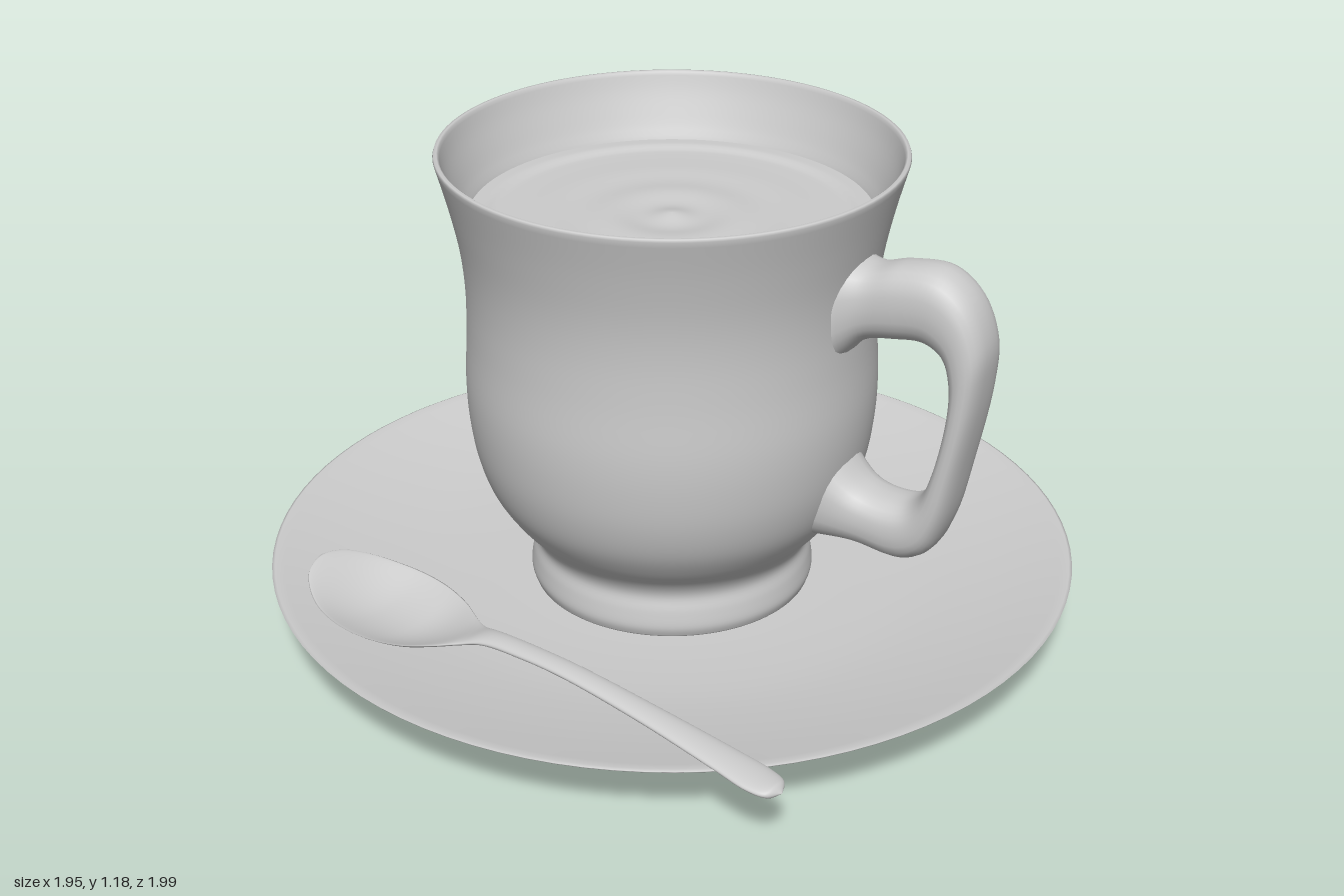
import * as THREE from 'three';

const material = new THREE.MeshStandardMaterial({ color: 0xcccccc, side: THREE.DoubleSide });
const AXIS_Z = -0.025; // cup and saucer share this axis

function addMesh(parent, name, geometry) {
  const mesh = new THREE.Mesh(geometry, material);
  mesh.name = name;
  parent.add(mesh);
  return mesh;
}

const v2 = (pts) => pts.map(([x, y]) => new THREE.Vector2(x, y));

// Smooth profile through [radius, height] points
const smooth = (pts, n) => new THREE.SplineCurve(v2(pts)).getPoints(n);

// Skin closed rings of points into one smooth tube
function loft(rings) {
  const n = rings[0].length;
  const index = [];
  for (let i = 0; i < rings.length - 1; i++) {
    for (let j = 0; j < n; j++) {
      const k = (j + 1) % n;
      const a = i * n + j, b = i * n + k, c = a + n, d = b + n;
      index.push(a, b, c, b, d, c);
    }
  }
  const geometry = new THREE.BufferGeometry().setFromPoints(rings.flat());
  geometry.setIndex(index);
  geometry.computeVertexNormals();
  return geometry;
}

// Shallow dish with a flat base
function saucerGeometry() {
  const under = smooth([[0.45, 0], [0.55, 0.007], [0.65, 0.033], [0.8, 0.088], [0.972, 0.153]], 20);
  const top = smooth([[0.968, 0.16], [0.8, 0.122], [0.62, 0.092], [0.45, 0.08], [0.3, 0.078]], 20);
  return new THREE.LatheGeometry(
    [...v2([[0, 0], [0.4, 0]]), ...under, ...v2([[0.975, 0.157]]), ...top, ...v2([[0, 0.078]])], 96);
}

// Flared cup: foot, waist, belly, rim and inner wall
function cupGeometry() {
  const outside = smooth([
    [0.338, 0.085], [0.345, 0.11], [0.34, 0.15], [0.332, 0.19], [0.35, 0.23], [0.395, 0.28],
    [0.44, 0.35], [0.468, 0.43], [0.483, 0.52], [0.488, 0.62], [0.482, 0.75], [0.482, 0.86],
    [0.492, 0.96], [0.515, 1.07], [0.543, 1.174]], 70);
  const inside = smooth([[0.53, 1.178], [0.515, 1.13], [0.487, 1.06], [0.462, 1.0], [0.45, 0.9]], 16);
  return new THREE.LatheGeometry(
    [...v2([[0, 0.08], [0.33, 0.08]]), ...outside, ...v2([[0.541, 1.18], [0.534, 1.181]]), ...inside], 96);
}

// Liquid surface with a few soft ripples and a raised edge
function drinkGeometry() {
  const pts = [];
  for (let i = 50; i >= 0; i--) {
    const r = 0.472 * i / 50;
    const ripple = 0.007 * Math.cos(r * 42) * Math.exp(-r * 7);
    const edge = 0.008 * THREE.MathUtils.smoothstep(r, 0.41, 0.44);
    pts.push(new THREE.Vector2(r, 1.015 + ripple + edge));
  }
  return new THREE.LatheGeometry(pts, 96);
}

// Angular handle: rounded sections spanning an outer and an inner edge curve
function handleGeometry() {
  const edge = (pts) => new THREE.CatmullRomCurve3(pts.map(([x, y]) => new THREE.Vector3(x, y, 0)));
  const outer = edge([
    [0.475, 1.025], [0.53, 1.015], [0.6, 1.035], [0.7, 1.04], [0.77, 0.99], [0.812, 0.89], [0.81, 0.78],
    [0.775, 0.58], [0.738, 0.42], [0.7, 0.345], [0.64, 0.313], [0.52, 0.322], [0.41, 0.315]]);
  const inner = edge([
    [0.475, 0.79], [0.52, 0.835], [0.6, 0.855], [0.67, 0.862], [0.715, 0.835], [0.732, 0.78], [0.732, 0.7],
    [0.708, 0.57], [0.68, 0.495], [0.645, 0.462], [0.6, 0.455], [0.53, 0.468], [0.455, 0.54]]);
  const round = (v) => Math.sign(v) * Math.pow(Math.abs(v), 0.8);
  const rings = [];
  for (let i = 0; i <= 72; i++) {
    const t = i / 72;
    const o = outer.getPoint(t), q = inner.getPoint(t);
    const centre = o.clone().add(q).multiplyScalar(0.5);
    const half = o.clone().sub(q).multiplyScalar(0.5);
    const flare = Math.max(0, 1 - Math.min(t, 1 - t) / 0.12);
    const width = 0.079 + 0.03 * flare * flare;
    const ring = [];
    for (let j = 0; j < 24; j++) {
      const a = j / 24 * Math.PI * 2;
      const p = centre.clone().addScaledVector(half, round(Math.cos(a)));
      p.z = width * round(Math.sin(a));
      ring.push(p);
    }
    rings.push(ring);
  }
  return loft(rings);
}

// Spoon from bowl tip to handle end; stations are [length, half width, height]
function spoonGeometry() {
  const curve = new THREE.CatmullRomCurve3([
    [0, 0.001, 0.236], [0.02, 0.056, 0.23], [0.06, 0.097, 0.216], [0.12, 0.129, 0.2], [0.2, 0.145, 0.19],
    [0.28, 0.14, 0.185], [0.36, 0.115, 0.184], [0.43, 0.075, 0.19], [0.48, 0.048, 0.2], [0.54, 0.032, 0.217],
    [0.65, 0.028, 0.225], [0.78, 0.028, 0.225], [1, 0.033, 0.206], [1.2, 0.042, 0.181], [1.29, 0.045, 0.168],
    [1.33, 0.034, 0.164], [1.35, 0.001, 0.162],
  ].map((p) => new THREE.Vector3(p[0], p[1], p[2])));
  const step = THREE.MathUtils.smoothstep;
  const rings = [];
  for (let i = 0; i <= 112; i++) {
    const { x: s, y: half, z: height } = curve.getPoint(i / 112);
    const depth = 0.04 * step(s, 0, 0.2) * (1 - step(s, 0.3, 0.52));
    const thick = (0.007 + 0.006 * step(s, 0.4, 0.6)) * Math.min(1, half / 0.03);
    const ring = [];
    for (let j = 0; j < 32; j++) {
      const a = j / 32 * Math.PI * 2;
      const u = Math.sin(a);
      ring.push(new THREE.Vector3(s, height - depth * (1 - u * u) + thick * Math.cos(a), half * u));
    }
    rings.push(ring);
  }
  return loft(rings);
}

export function createModel() {
  const model = new THREE.Group();
  model.name = 'cupAndSaucer';

  addMesh(model, 'saucer', saucerGeometry()).position.z = AXIS_Z;

  const cup = new THREE.Group();
  cup.name = 'cup';
  cup.position.z = AXIS_Z;
  model.add(cup);
  addMesh(cup, 'cupBody', cupGeometry());
  addMesh(cup, 'drink', drinkGeometry());
  addMesh(cup, 'cupHandle', handleGeometry()).rotation.y = -0.36;

  const spoon = addMesh(model, 'spoon', spoonGeometry());
  spoon.position.set(-0.775, 0, 0.345);
  spoon.rotation.y = -0.48;

  return model;
}
